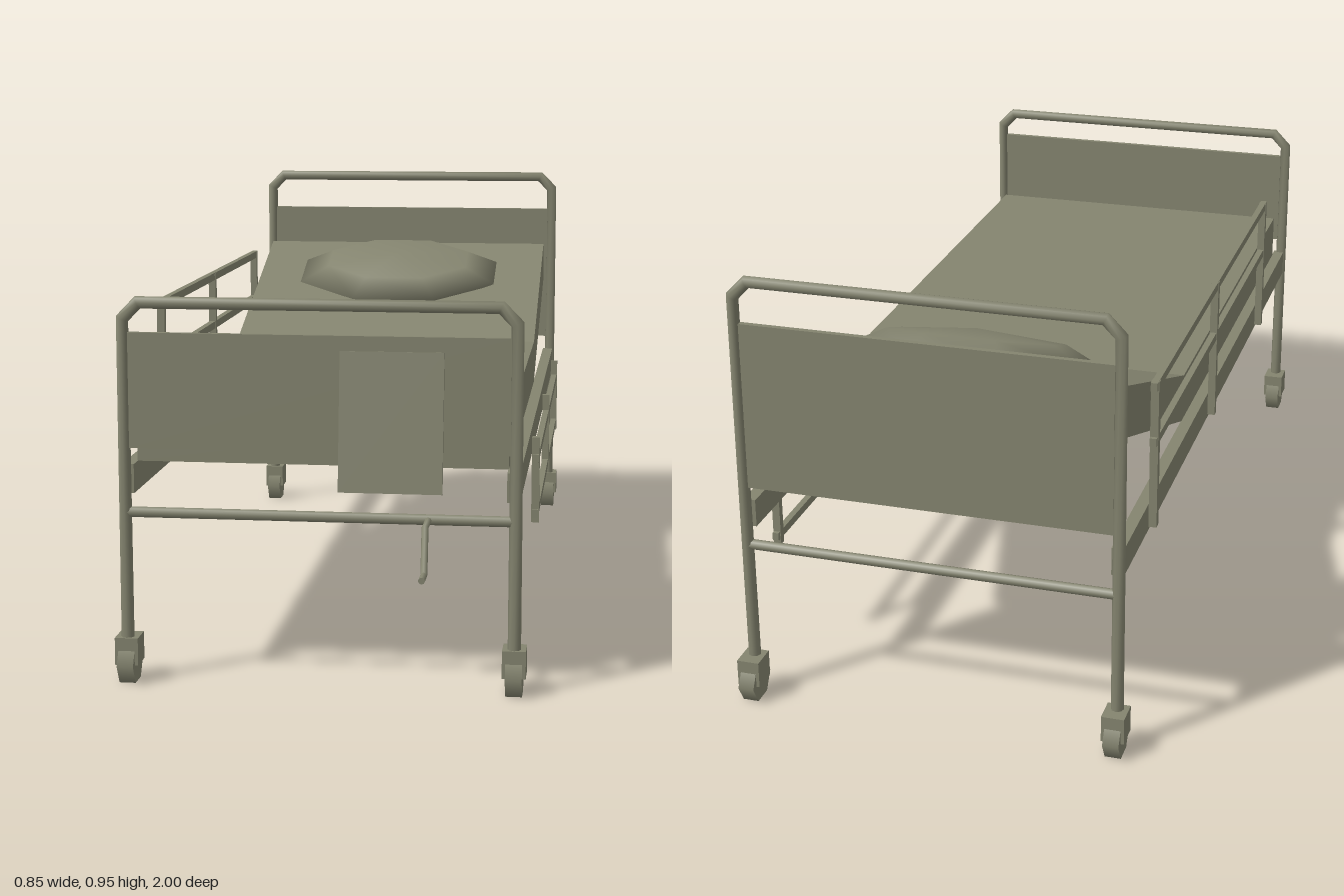
import * as THREE from 'three';

const paint = new THREE.MeshStandardMaterial({ color: 0x84846f });
paint.name = 'olive grey';

const V = (x, y, z) => new THREE.Vector3(x, y, z);

// Polyline whose corners become clean mitred joints in a tube
class Polyline extends THREE.Curve {
  constructor(points) { super(); this.points = points; }
  index(u) { return Math.round(u * (this.points.length - 1)); }
  getPointAt(u) { return this.points[this.index(u)].clone(); }
  getPoint(u) { return this.getPointAt(u); }
  getTangentAt(u) {
    const i = this.index(u), p = this.points, t = V(0, 0, 0);
    if (i > 0) t.add(p[i].clone().sub(p[i - 1]).normalize());
    if (i < p.length - 1) t.add(p[i + 1].clone().sub(p[i]).normalize());
    return t.normalize();
  }
}

function add(parent, name, geometry, x = 0, y = 0, z = 0) {
  const mesh = new THREE.Mesh(geometry, paint);
  mesh.name = name;
  mesh.position.set(x, y, z);
  parent.add(mesh);
  return mesh;
}

const box = (parent, name, w, h, d, x, y, z) =>
  add(parent, name, new THREE.BoxGeometry(w, h, d), x, y, z);

const tube = (parent, name, points, radius) =>
  add(parent, name, new THREE.TubeGeometry(new Polyline(points), points.length - 1, radius, 8));

// Straight capped rod between two points
function rod(parent, name, a, b, radius) {
  const dir = b.clone().sub(a);
  const mesh = add(parent, name, new THREE.CylinderGeometry(radius, radius, dir.length(), 8));
  mesh.position.copy(a).add(b).multiplyScalar(0.5);
  mesh.quaternion.setFromUnitVectors(V(0, 1, 0), dir.normalize());
  return mesh;
}

// Bent tube frame with panel, crossbar and casters
function endFrame(name, z, top, panelTop) {
  const g = new THREE.Group();
  g.name = name;
  const X = 0.396, yTop = top - 0.012, yBend = top - 0.045;
  tube(g, 'frameTube', [
    V(-X, 0.085, z), V(-X, yBend, z), V(-0.364, yTop, z),
    V(0.364, yTop, z), V(X, yBend, z), V(X, 0.085, z),
  ], 0.0135);
  box(g, 'endPanel', 0.77, panelTop - 0.49, 0.012, 0, (panelTop + 0.49) / 2, z);
  rod(g, 'crossbar', V(-X, 0.357, z), V(X, 0.357, z), 0.011);
  for (const s of [-1, 1]) {
    box(g, 'casterFork', 0.048, 0.057, 0.056, s * X, 0.067, z - 0.011);
    const wheel = new THREE.CylinderGeometry(0.045, 0.045, 0.034, 6);
    wheel.rotateZ(Math.PI / 2);
    add(g, 'casterWheel', wheel, s * X, 0.039, z - 0.011);
  }
  return g;
}

// Safety rail: two long bars on three posts
function sideRail(name, x, bars, bottom, top) {
  const g = new THREE.Group();
  g.name = name;
  for (const y of bars) box(g, 'railBar', 0.014, 0.018, 1.19, x, y, -0.17);
  for (const z of [0.41, -0.167, -0.748]) {
    box(g, 'railPost', 0.017, top - bottom, 0.016, x, (top + bottom) / 2, z);
  }
  return g;
}

export function createModel() {
  const bed = new THREE.Group();
  bed.name = 'hospitalBed';

  bed.add(endFrame('footEnd', 0.859, 0.797, 0.725));
  bed.add(endFrame('headEnd', -0.946, 0.951, 0.85));

  // Long base rails
  for (const s of [-1, 1]) {
    box(bed, 'baseRail', 0.026, 0.06, 1.795, s * 0.391, 0.425, -0.04);
  }

  // Mattress with raised backrest
  const profile = new THREE.Shape([
    [0.82, 0.455], [0.82, 0.56], [-0.3, 0.56], [-0.84, 0.76], [-0.877, 0.662], [-0.315, 0.455],
  ].map(([z, y]) => new THREE.Vector2(z, y)));
  const mattress = new THREE.ExtrudeGeometry(profile, { depth: 0.758, bevelEnabled: false });
  mattress.translate(0, 0, -0.379);
  mattress.rotateY(-Math.PI / 2);
  add(bed, 'mattress', mattress);

  // Faceted pillow lying on the backrest
  const pillow = add(bed, 'pillow',
    new THREE.SphereGeometry(1, 8, 4, Math.PI / 8), 0, 0.699, -0.63);
  pillow.scale.set(0.28, 0.056, 0.177);
  pillow.rotation.x = Math.atan2(0.2, 0.54);

  bed.add(sideRail('raisedSideRail', -0.418, [0.73, 0.609], 0.415, 0.738));
  bed.add(sideRail('loweredSideRail', 0.416, [0.278, 0.401], 0.257, 0.447));

  // Chart board leaning on the foot end
  const chart = box(bed, 'chartBoard', 0.207, 0.279, 0.008, 0.151, 0.559, 0.901);
  chart.rotation.x = -Math.atan2(0.033, 0.277);

  // Hand crank
  tube(bed, 'crank', [
    V(0.222, 0.357, 0.86), V(0.222, 0.357, 0.932), V(0.222, 0.267, 0.952), V(0.222, 0.267, 0.98),
  ], 0.007);
  rod(bed, 'crankGrip', V(0.222, 0.267, 0.96), V(0.222, 0.267, 1.0), 0.007);

  return bed;
}
